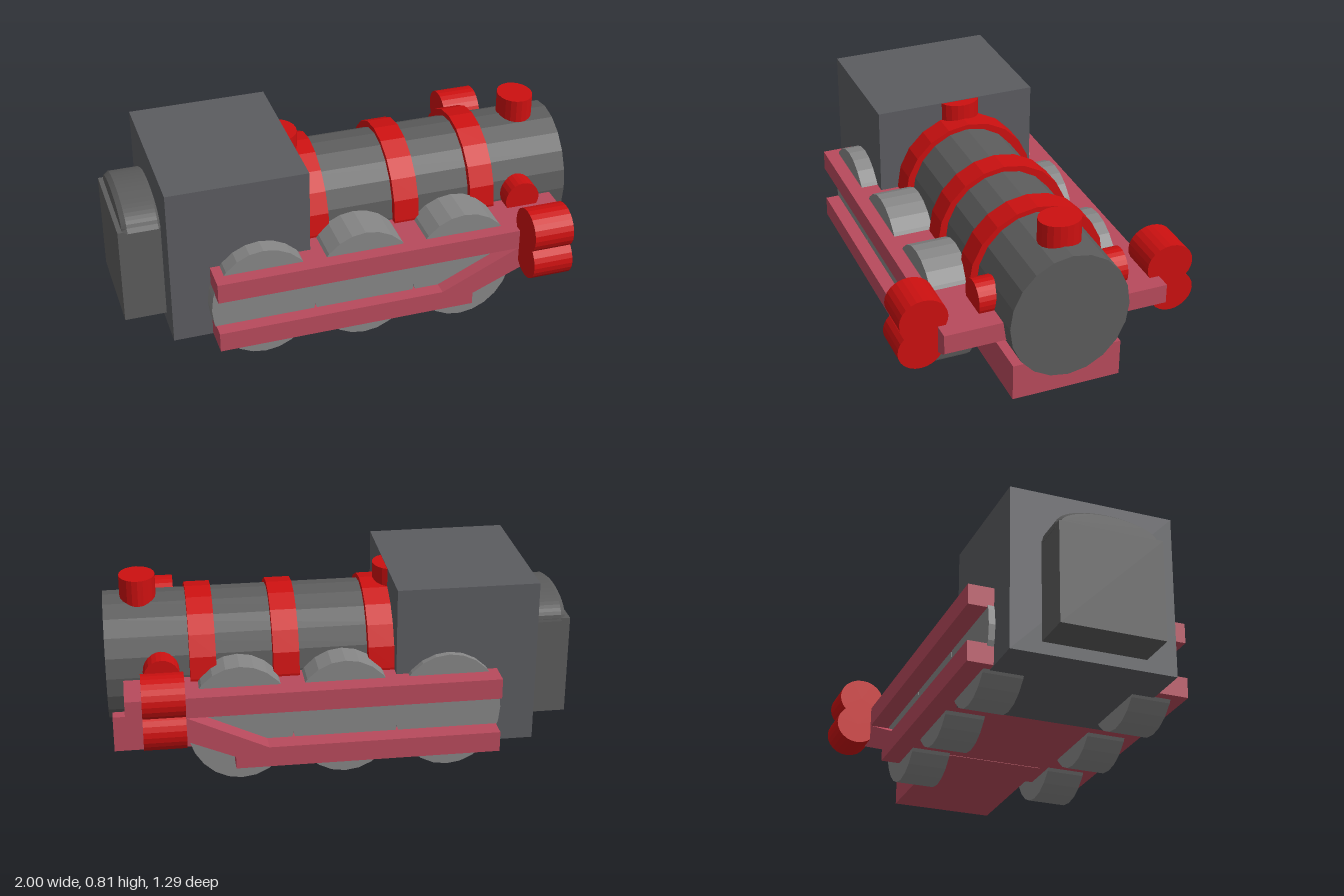
import * as THREE from 'three';

const mat = (color) => new THREE.MeshStandardMaterial({ color, flatShading: true });

export function createModel() {
  const model = new THREE.Group();
  const slate = mat(0x5b5c60), iron = mat(0x5c5c5c), steel = mat(0x868686);
  const red = mat(0xcc1010), pink = mat(0xb84a5c);

  const add = (name, geometry, material, x = 0, y = 0, z = 0) => {
    const mesh = new THREE.Mesh(geometry, material);
    mesh.name = name;
    mesh.position.set(x, y, z);
    model.add(mesh);
    return mesh;
  };

  // Box given by its two opposite corners
  const box = (name, material, [x0, y0, z0], [x1, y1, z1]) =>
    add(name, new THREE.BoxGeometry(x1 - x0, y1 - y0, z1 - z0), material,
      (x0 + x1) / 2, (y0 + y1) / 2, (z0 + z1) / 2);

  // Elliptical cylinder along x
  const barX = (name, material, x0, x1, y, z, ry, rz, sides = 20) => {
    const g = new THREE.CylinderGeometry(1, 1, x1 - x0, sides);
    g.rotateZ(Math.PI / 2).scale(1, ry, rz);
    return add(name, g, material, (x0 + x1) / 2, y, z);
  };

  // Elliptical cylinder along z
  const barZ = (name, material, x, y, z0, z1, rx, ry, sides = 24) => {
    const g = new THREE.CylinderGeometry(1, 1, z1 - z0, sides);
    g.rotateX(Math.PI / 2).scale(rx, ry, 1);
    return add(name, g, material, x, y, (z0 + z1) / 2);
  };

  // Elliptical upright cylinder
  const post = (name, x, z, y0, y1, rx, rz) => {
    const g = new THREE.CylinderGeometry(1, 1, y1 - y0, 20).scale(rx, 1, rz);
    return add(name, g, red, x, (y0 + y1) / 2, z);
  };

  // Boiler with its bands, chimney and dome
  barX('boiler', iron, -0.3, 1, 0.44, -0.025, 0.28, 0.257);
  for (const x of [-0.16, 0.245, 0.595]) {
    barX('boilerBand', red, x - 0.055, x + 0.055, 0.44, -0.033, 0.302, 0.297);
  }
  post('chimney', 0.85, -0.035, 0.6, 0.81, 0.077, 0.09);
  post('steamDome', -0.238, -0.035, 0.6, 0.808, 0.075, 0.09);

  // Cab and the bunker behind it
  box('cab', slate, [-0.82, 0.087, -0.375], [-0.215, 0.81, 0.343]);
  box('bunker', iron, [-1, 0.14, -0.24], [-0.8, 0.585, 0.21]);
  const load = new THREE.Shape();
  load.moveTo(-0.22, 0);
  load.absellipse(0, 0, 0.21, 0.075, Math.PI, 0, true);
  load.lineTo(-0.22, 0);
  const loadGeometry = new THREE.ExtrudeGeometry(load, {
    depth: 0.13, bevelThickness: 0.02, bevelSize: 0.015, bevelSegments: 1, curveSegments: 12,
  });
  loadGeometry.rotateY(Math.PI / 2);
  add('bunkerLoad', loadGeometry, iron, -0.96, 0.585, -0.015);

  // Running board and lower frame, joined by a sloping front
  const frame = new THREE.Shape([
    [-0.65, 0.09], [0.48, 0.09], [0.48, 0.145], [0.91, 0.33], [0.93, 0.345], [0.93, 0.43],
    [-0.65, 0.43], [-0.65, 0.34], [0.68, 0.34], [0.34, 0.18], [-0.65, 0.18],
  ].map(([x, y]) => new THREE.Vector2(x, y)));
  add('frame', new THREE.ExtrudeGeometry(frame, { depth: 0.965, bevelEnabled: false }),
    pink, 0, 0, -0.487);
  box('bufferBeam', pink, [0.3, 0.088, -0.26], [0.985, 0.25, 0.21]);

  // Three wheels on each side
  for (const x of [-0.438, 0.006, 0.45]) {
    barZ('leftWheel', steel, x, 0.26, 0.245, 0.418, 0.228, 0.26);
    barZ('rightWheel', steel, x, 0.26, -0.403, -0.23, 0.228, 0.26);
  }

  // Steam cylinders in stacked pairs, with a stub beside the boiler
  for (const side of [1, -1]) {
    barX('upperCylinder', red, 0.685, 0.86, 0.472, side * 0.535, 0.093, 0.102, 24);
    barX('lowerCylinder', red, 0.685, 0.86, 0.34, side * 0.55, 0.09, 0.096, 24);
  }
  barZ('leftStub', red, 0.77, 0.465, 0.15, 0.297, 0.077, 0.08);
  barZ('rightStub', red, 0.77, 0.465, -0.352, -0.2, 0.077, 0.08);

  return model;
}
